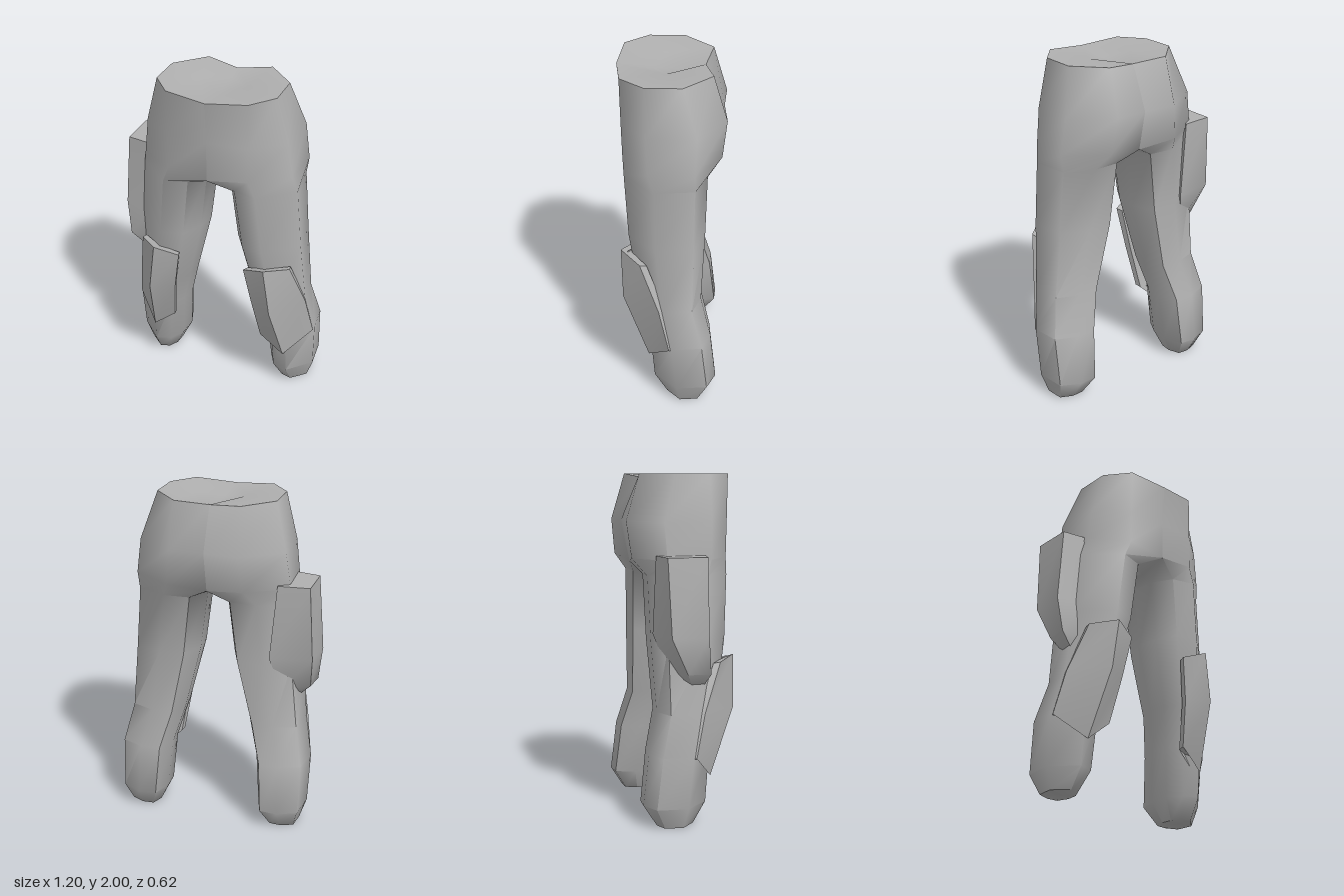
import * as THREE from 'three';
import { toCreasedNormals } from 'three/addons/utils/BufferGeometryUtils.js';

const grey = new THREE.MeshStandardMaterial({ color: 0xb0b0b0 });
grey.name = 'cloth grey';

// Skin a stack of rings (top to bottom, counter-clockwise from above) and cap both ends.
function loft(rings, crease) {
  const out = [];
  const tri = (...pts) => pts.forEach((p) => out.push(...p));
  const n = rings[0].length;
  for (let r = 0; r < rings.length - 1; r++) {
    for (let i = 0; i < n; i++) {
      const j = (i + 1) % n;
      const a = rings[r][i], b = rings[r][j], c = rings[r + 1][j], d = rings[r + 1][i];
      if ([a, b, c, d].every((p) => p[0] === 0)) continue; // hidden centre wall
      tri(d, c, b);
      tri(d, b, a);
    }
  }
  const cap = (ring, up) => {
    const mid = [0, 1, 2].map((k) => ring.reduce((s, p) => s + p[k], 0) / n);
    ring.forEach((p, i) => {
      const q = ring[(i + 1) % n];
      if (up) tri(mid, p, q);
      else tri(mid, q, p);
    });
  };
  cap(rings[0], true);
  cap(rings[rings.length - 1], false);

  let geo = new THREE.BufferGeometry();
  geo.setAttribute('position', new THREE.Float32BufferAttribute(out, 3));
  geo = toCreasedNormals(geo, crease);
  // Keep shading continuous across the centre seam.
  const pos = geo.attributes.position, nor = geo.attributes.normal;
  const v = new THREE.Vector3();
  for (let i = 0; i < pos.count; i++) {
    if (pos.getX(i) !== 0) continue;
    v.fromBufferAttribute(nor, i).setX(0);
    if (v.length() > 0.01) {
      v.normalize();
      nor.setXYZ(i, v.x, v.y, v.z);
    }
  }
  return geo;
}

const mirror = (rings) =>
  rings.map((ring) => ring.map(([x, y, z]) => [x === 0 ? 0 : -x, y, z]).reverse());

function part(name, rings, crease) {
  const mesh = new THREE.Mesh(loft(rings, crease), grey);
  mesh.name = name;
  return mesh;
}

// Half hip sections: height, dip at the centre line, then [x, z] from front centre to back centre
const HIPS = [
  [2.0, .02, [0, .31], [.24, .28], [.355, .14], [.355, -.07], [.195, -.235], [0, -.19]],
  [1.73, 0, [0, .285], [.24, .275], [.425, .13], [.435, -.15], [.2, -.315], [0, -.3]],
  [1.52, .03, [0, .285], [.24, .27], [.45, .12], [.465, -.14], [.23, -.29], [0, -.25]],
];
const hipRings = HIPS.map(([y, dip, ...pts]) => [
  ...pts.map(([x, z]) => [x, x === 0 ? y - dip : y, z]),
  [0, y - dip * 2.3, -.1],
  [0, y - dip * 2.3, .1],
]);

// Leg section as fractions: across from inner to outer side, and from back to front
const SECTION = [[.2, .92], [.53, 1], [1, .64], [.94, .16], [.53, .02], [.15, .04], [0, .36], [.03, .67]];
// Leg levels: height, inner x, outer x, back z, front z
const LEVELS = [
  [1.42, .06, .475, -.22, .262],
  [1.05, .107, .503, -.21, .24],
  [.65, .205, .535, -.19, .17],
  [.42, .27, .585, -.25, .115],
  [.12, .295, .575, -.285, .09],
  [0, .355, .535, -.205, .015],
];
const legRings = LEVELS.map(([y, inner, outer, back, front]) =>
  SECTION.map(([s, t]) => [inner + (outer - inner) * s, y, back + (front - back) * t]));
const sideRings = [...hipRings, ...legRings];

// Knee plate rows: inner edge, ridge, outer edge as [x, y, z]
const PLATE = [
  [[.205, .91, .235], [.345, .962, .285], [.47, .938, .17]],
  [[.25, .65, .2], [.385, .66, .275], [.54, .66, .06]],
  [[.285, .39, .135], [.43, .268, .125], [.58, .41, 0]],
];
const plateRings = PLATE.map((row) => [
  ...row,
  ...row.map(([x, y, z]) => [x - (x - .37) * .08, y - .006, z - .04]).reverse(),
]);

// Thigh pouch: height, then outer back, outer front, inner front, inner back as [x, z]
const POUCH = [
  [1.545, [-.585, -.17], [-.585, .06], [-.43, .09], [-.4, -.19]],
  [1.1, [-.605, -.15], [-.618, .06], [-.44, .09], [-.36, -.2]],
  [.89, [-.575, -.05], [-.59, .08], [-.45, .09], [-.42, -.13]],
  [.82, [-.51, -.01], [-.515, .06], [-.46, .07], [-.45, -.06]],
];
const pouchRings = POUCH.map(([y, ...pts]) => pts.map(([x, z]) => [x, y, z]));

export function createModel() {
  const body = new THREE.Group();
  body.name = 'trousers';
  body.add(part('leftLeg', sideRings, 1.1));
  body.add(part('rightLeg', mirror(sideRings), 1.1));
  body.add(part('leftKneePlate', plateRings, .75));
  body.add(part('rightKneePlate', mirror(plateRings), .75));
  body.add(part('thighPouch', pouchRings, .75));
  body.position.x = .015;
  const model = new THREE.Group();
  model.name = 'armouredTrousers';
  model.add(body);
  return model;
}
